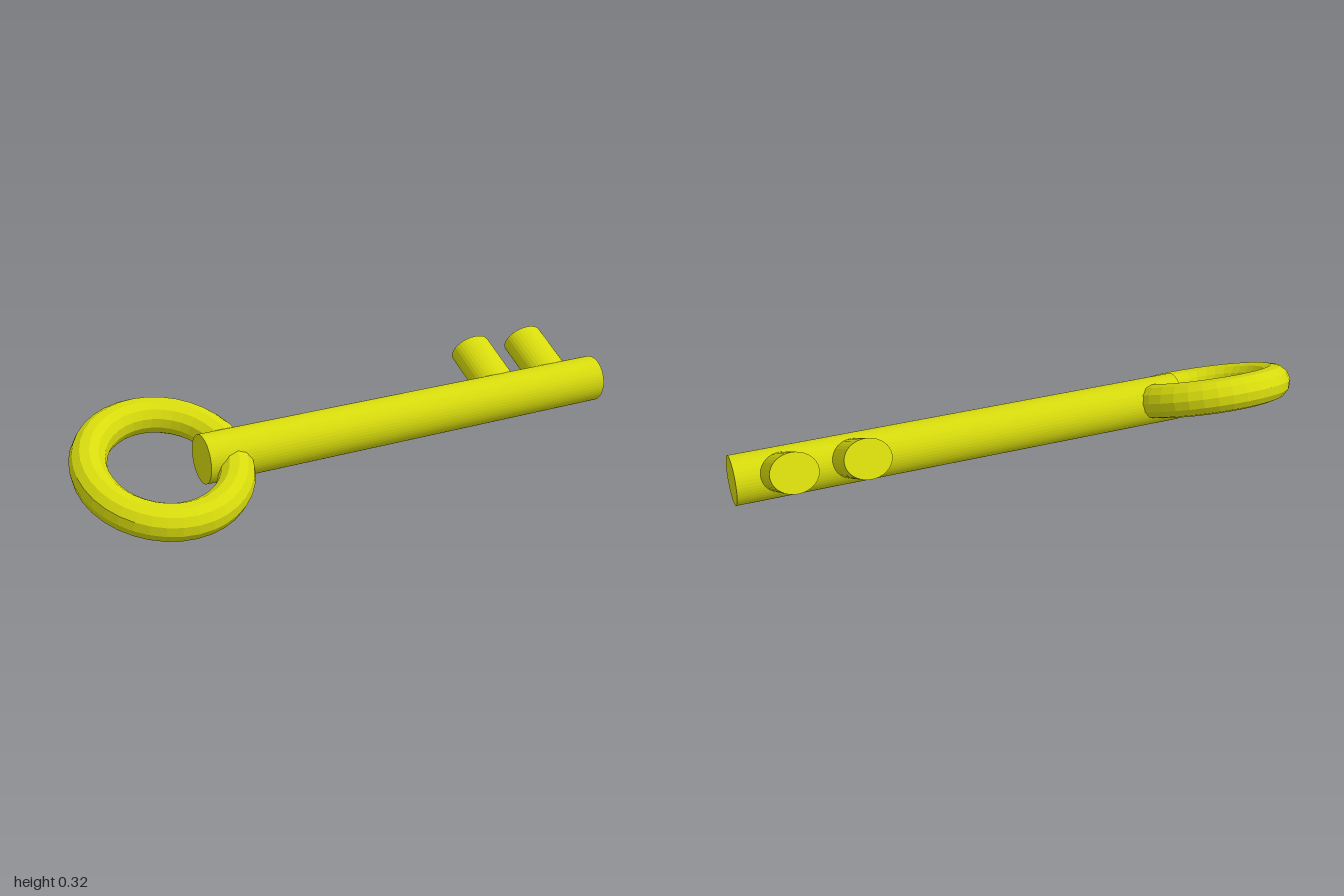
import * as THREE from 'three';

const SHAFT_Y = 0.153;

export function createModel() {
  const key = new THREE.Group();
  key.name = 'key';
  const material = new THREE.MeshStandardMaterial({ color: 0xd6da0c, flatShading: true });

  function add(name, geometry, x, y, z) {
    const mesh = new THREE.Mesh(geometry, material);
    mesh.name = name;
    mesh.position.set(x, y, z);
    key.add(mesh);
    return mesh;
  }

  // Slightly oval round bar running along x
  const shaft = new THREE.CylinderGeometry(1, 1, 1.572, 48);
  shaft.rotateZ(Math.PI / 2).scale(1, 0.083, 0.0785);
  add('shaft', shaft, 0.214, SHAFT_Y, 0.003);

  // Ring handle piercing the shaft end, tipped down towards the front
  const ring = new THREE.TorusGeometry(0.236, 0.06, 12, 36);
  ring.rotateX(Math.PI / 2).scale(1, 1, 1.03).rotateX(THREE.MathUtils.degToRad(23));
  add('ringHandle', ring, -0.704, 0.155, 0);

  // Two oval pegs rising backwards from the shaft's centre line
  const length = 0.247;
  for (const x of [0.608, 0.842]) {
    const tooth = new THREE.CylinderGeometry(0.0775, 0.0775, length, 36);
    tooth.scale(1, 1, 0.84).translate(0, length / 2, 0);
    tooth.rotateX(THREE.MathUtils.degToRad(-62.8));
    add('tooth', tooth, x, SHAFT_Y, 0);
  }
  return key;
}
